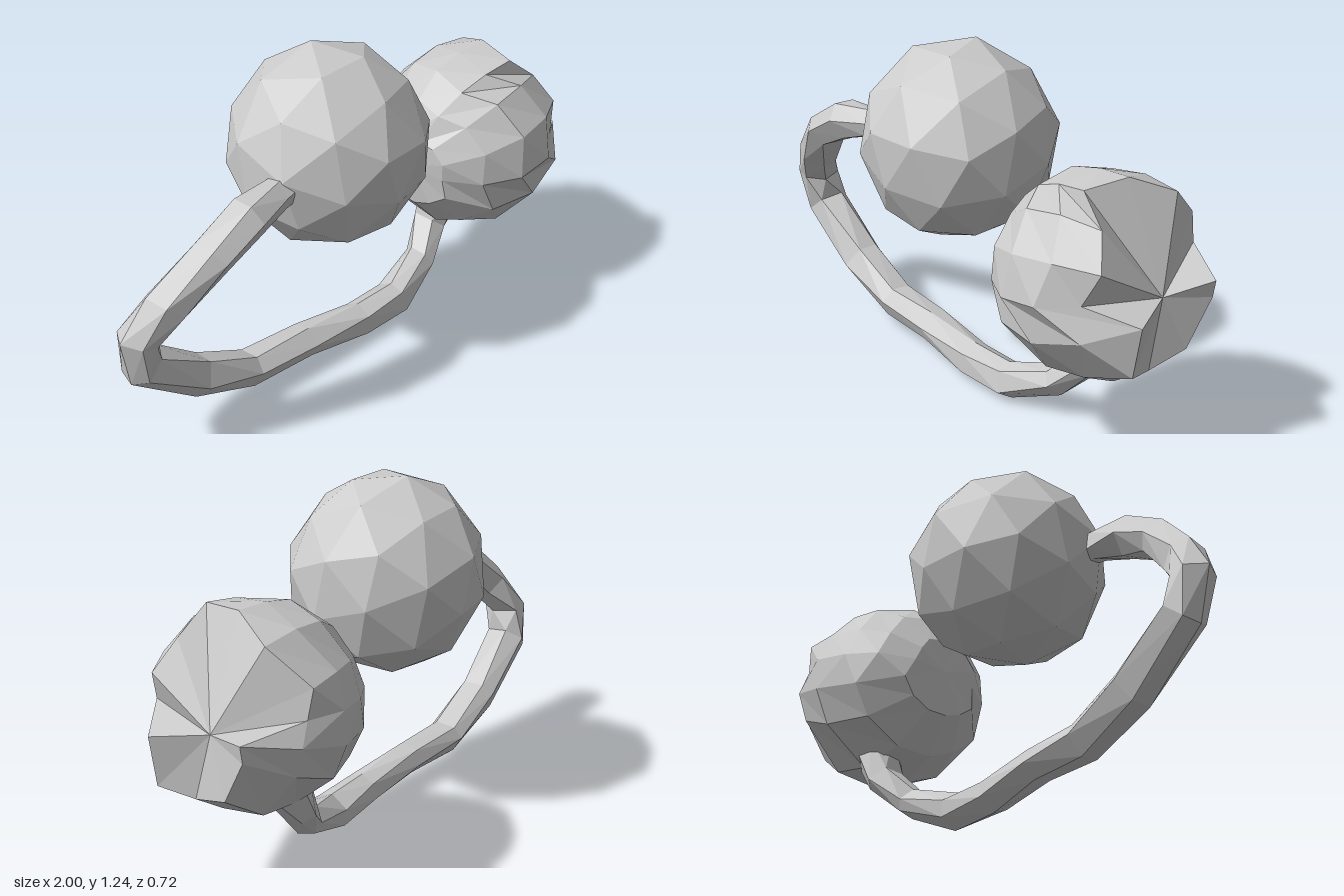
import * as THREE from 'three';

const V = (x, y, z) => new THREE.Vector3(x, y, z);
const material = new THREE.MeshStandardMaterial({ color: 0xcccccc, flatShading: true });

// repeatable noise in -1..1
function noise(a, b = 0, c = 0) {
  const s = Math.sin(a * 127.1 + b * 311.7 + c * 74.7) * 43758.5453;
  return (s - Math.floor(s)) * 2 - 1;
}

function part(name, geometry) {
  const mesh = new THREE.Mesh(geometry, material);
  mesh.name = name;
  return mesh;
}

// Faceted skin over closed rings that all have the same number of points
function loft(rings) {
  const n = rings[0].length, index = [];
  for (let j = 0; j < rings.length - 1; j++) {
    for (let i = 0; i < n; i++) {
      const a = j * n + i, b = j * n + (i + 1) % n;
      index.push(a, a + n, b, b, a + n, b + n);
    }
  }
  const geometry = new THREE.BufferGeometry().setFromPoints(rings.flat());
  geometry.setIndex(index);
  const flat = geometry.toNonIndexed();
  flat.computeVertexNormals();
  return flat;
}

// Uneven low-poly ball
function upperBall() {
  const geometry = new THREE.IcosahedronGeometry(1, 1);
  geometry.rotateZ(0.35).rotateX(0.3);
  const pos = geometry.attributes.position, p = V(0, 0, 0);
  for (let i = 0; i < pos.count; i++) {
    p.fromBufferAttribute(pos, i);
    const k = [p.x, p.y, p.z].map((v) => Math.round(v * 50));
    p.multiplyScalar(1 + 0.02 * noise(...k));
    pos.setXYZ(i, -0.062 + p.x * 0.362, 0.89 + p.y * 0.36, -0.015 + p.z * 0.352);
  }
  geometry.computeVertexNormals();
  return part('upperBall', geometry);
}

// Ball whose outer side opens into a torn, notched rim around a pinched centre
function lowerBall() {
  const centre = V(0.667, 0.635, 0.018);
  const rim = [
    [0.83, 0.88, 0.19], [0.72, 0.97, 0.16], [0.76, 0.985, 0], [0.83, 0.92, -0.15],
    [0.78, 0.80, -0.29], [0.80, 0.70, -0.28], [0.99, 0.66, -0.17], [0.98, 0.60, -0.17],
    [0.96, 0.44, -0.08], [0.93, 0.40, 0.06], [0.97, 0.43, 0.18], [1.0, 0.61, 0.18],
    [0.84, 0.66, 0.28], [0.89, 0.77, 0.25],
  ].map((p) => V(...p));
  const n = rim.length, start = 0.8;
  const rings = [0, 0.2, 0.4, 0.6, 0.8].map((f, j) => rim.map((p, i) => {
    const d = p.clone().sub(centre), r = d.length();
    let angle = Math.atan2(d.z, d.y);
    const even = start - i * Math.PI * 2 / n;
    while (angle - even > Math.PI) angle -= Math.PI * 2;
    while (even - angle > Math.PI) angle += Math.PI * 2;
    const a = THREE.MathUtils.lerp(even, angle, f * f);
    const polar = Math.acos(-d.x / r) * f;
    const radius = 0.35 * (1 + (j ? 0.02 * noise(i, j) : -0.04));
    return V(-Math.cos(polar), Math.sin(polar) * Math.cos(a), Math.sin(polar) * Math.sin(a))
      .multiplyScalar(radius).add(centre);
  }));
  rings.push(rim, rim.map(() => V(0.92, 0.63, 0)));
  return part('lowerBall', loft(rings));
}

// Bent, slightly twisted band joining the balls: x, y, z, half thickness, half depth
function band() {
  const path = [
    [-0.30, 0.88, 0.07, 0.05, 0.06], [-0.41, 0.88, 0.09, 0.055, 0.06],
    [-0.55, 0.865, 0.105, 0.075, 0.08], [-0.70, 0.785, 0.09, 0.07, 0.085],
    [-0.85, 0.635, 0.03, 0.075, 0.08], [-0.93, 0.52, -0.025, 0.072, 0.08],
    [-0.905, 0.39, -0.05, 0.075, 0.08], [-0.68, 0.215, -0.045, 0.075, 0.08],
    [-0.45, 0.115, -0.035, 0.065, 0.075], [-0.20, 0.112, -0.01, 0.06, 0.07],
    [0.06, 0.08, 0.02, 0.065, 0.07], [0.26, 0.075, 0.02, 0.068, 0.075],
    [0.46, 0.145, -0.02, 0.055, 0.065], [0.565, 0.25, -0.07, 0.06, 0.075],
    [0.64, 0.38, -0.06, 0.09, 0.09],
  ];
  const sides = 6;
  const rings = path.map(([x, y, z, r, depth], j) => {
    const before = path[Math.max(j - 1, 0)], after = path[Math.min(j + 1, path.length - 1)];
    const t = V(after[0] - before[0], after[1] - before[1], 0).normalize();
    const normal = V(-t.y, t.x, 0);
    return Array.from({ length: sides }, (_, i) => {
      const a = i * Math.PI * 2 / sides + j * 0.2 + 0.2 * noise(i, j);
      return V(x, y, z - Math.sin(a) * depth).addScaledVector(normal, Math.cos(a) * r);
    });
  });
  return part('band', loft(rings));
}

export function createModel() {
  const group = new THREE.Group();
  group.name = 'openRingWithBalls';
  group.add(upperBall(), lowerBall(), band());
  return group;
}
